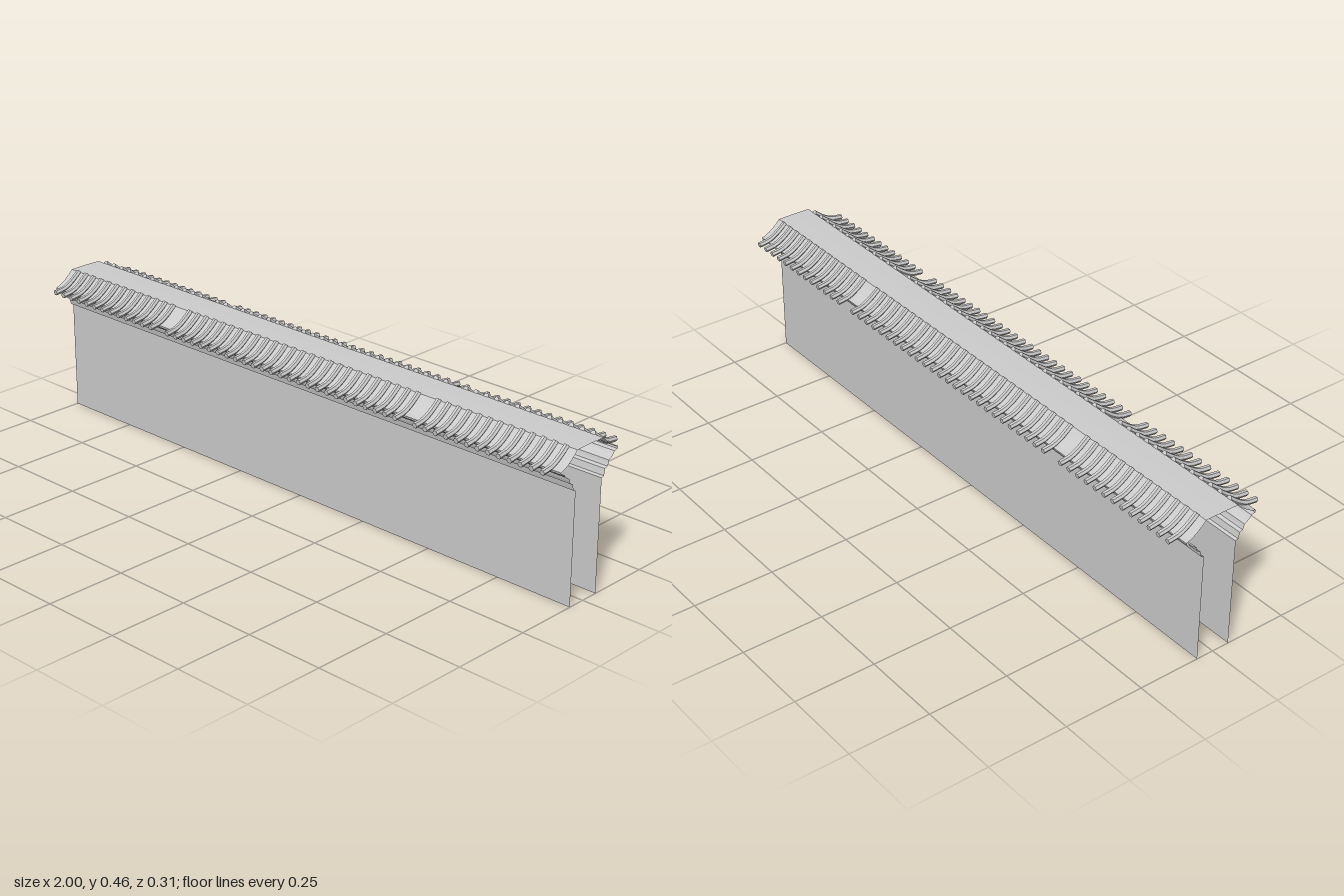
import * as THREE from 'three';

const grey = new THREE.MeshStandardMaterial({ color: 0xcccccc, flatShading: true, side: THREE.DoubleSide });

// Thin sheet running the full length in x, from a [z, y] cross-section
function sheet(name, profile) {
  const pos = [];
  for (let i = 0; i < profile.length - 1; i++) {
    const [z0, y0] = profile[i], [z1, y1] = profile[i + 1];
    pos.push(-1, y0, z0, 1, y0, z0, 1, y1, z1, -1, y0, z0, 1, y1, z1, -1, y1, z1);
  }
  const geo = new THREE.BufferGeometry();
  geo.setAttribute('position', new THREE.Float32BufferAttribute(pos, 3));
  geo.computeVertexNormals();
  const mesh = new THREE.Mesh(geo, grey);
  mesh.name = name;
  return mesh;
}

// Curved six-sided rafter with closed ends
function rafterGeometry() {
  const path = new THREE.CatmullRomCurve3([
    [0.153, 0.411], [0.115, 0.417], [0.084, 0.434], [0.055, 0.457],
  ].map(([z, y]) => new THREE.Vector3(0, y, z)));
  const section = new THREE.Shape();
  for (let i = 0; i < 6; i++) {
    const a = i * Math.PI / 3;
    section[i ? 'lineTo' : 'moveTo'](0.0085 * Math.cos(a), 0.0085 * Math.sin(a));
  }
  section.closePath();
  return new THREE.ExtrudeGeometry(section, { steps: 7, extrudePath: path, bevelEnabled: false });
}

export function createModel() {
  const model = new THREE.Group();
  model.name = 'roofedWall';
  const rafter = rafterGeometry();

  for (const side of [0, 1]) {
    const half = new THREE.Group();
    half.name = side ? 'backHalf' : 'frontHalf';
    half.rotation.y = side * Math.PI;

    half.add(sheet('wall', [[0.055, 0], [0.055, 0.34]]));
    // Stepped moulding flaring out to the eave
    half.add(sheet('cornice', [
      [0.055, 0.34], [0.064, 0.343], [0.066, 0.352], [0.068, 0.362], [0.078, 0.366], [0.081, 0.374],
      [0.083, 0.382], [0.092, 0.387], [0.101, 0.394], [0.106, 0.401], [0.118, 0.404], [0.12, 0.411],
    ]));
    // Concave slope up to half of the flat crown
    half.add(sheet('roof', [
      [0.12, 0.411], [0.107, 0.415], [0.094, 0.422], [0.081, 0.431], [0.068, 0.442], [0.055, 0.455], [0, 0.456],
    ]));

    // Evenly spaced rafters with two gaps
    for (let i = 0; i < 54; i++) {
      if (i === 13 || i === 40) continue;
      const rib = new THREE.Mesh(rafter, grey);
      rib.name = 'rafter';
      rib.position.x = (i - 26.5) * 0.0364;
      half.add(rib);
    }
    model.add(half);
  }
  return model;
}
